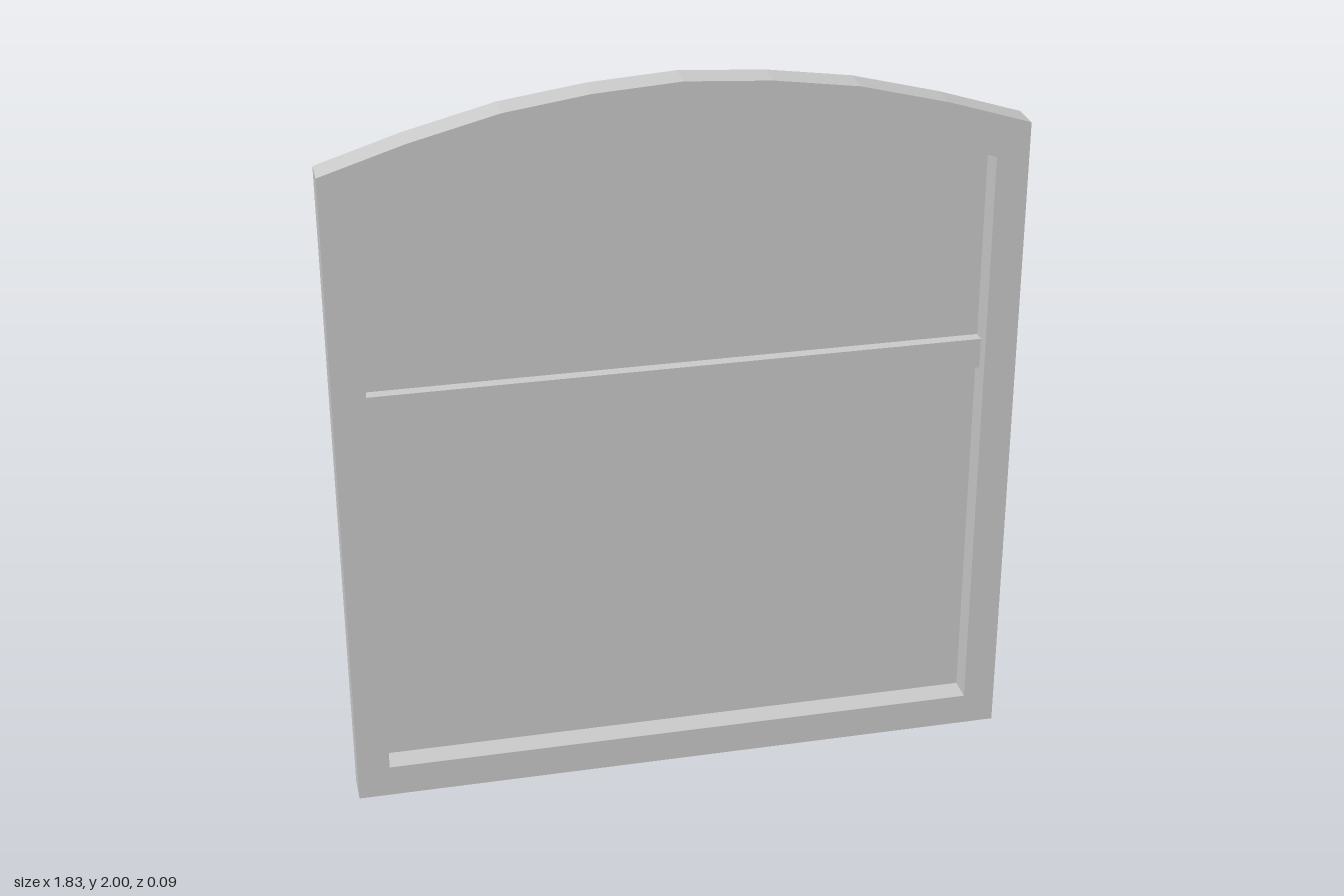
import * as THREE from 'three';

const FRONT = 0.044, BACK = -0.043, RAIL = 0.006, GLASS = -0.026;

// Mirrors a half arch (centre to right end) and closes it along the bottom.
function archOutline(half, bottom) {
  const left = half.slice(1).map(([x, y]) => [-x, y]);
  const end = half[half.length - 1][0];
  return [[-end, bottom], [end, bottom], ...half.slice().reverse(), ...left]
    .map(([x, y]) => new THREE.Vector2(x, y));
}

// Closed band of walls following an outline between two depths.
function wallGeometry(points, z0, z1) {
  const pos = [];
  points.forEach((a, i) => {
    const b = points[(i + 1) % points.length];
    pos.push(a.x, a.y, z0, b.x, b.y, z0, b.x, b.y, z1);
    pos.push(a.x, a.y, z0, b.x, b.y, z1, a.x, a.y, z1);
  });
  const geometry = new THREE.BufferGeometry();
  geometry.setAttribute('position', new THREE.Float32BufferAttribute(pos, 3));
  geometry.computeVertexNormals();
  return geometry;
}

export function createModel() {
  const model = new THREE.Group();
  model.name = 'archedWindow';
  const material = new THREE.MeshStandardMaterial({
    color: 0xcccccc, flatShading: true, side: THREE.DoubleSide,
  });
  const add = (name, geometry, z = 0) => {
    const mesh = new THREE.Mesh(geometry, material);
    mesh.name = name;
    mesh.position.z = z;
    model.add(mesh);
  };

  const outer = archOutline(
    [[0, 2], [0.23, 1.985], [0.455, 1.953], [0.69, 1.893], [0.914, 1.822]], 0);
  const inner = archOutline(
    [[0, 1.903], [0.205, 1.896], [0.41, 1.864], [0.61, 1.808], [0.826, 1.734]], 0.09);

  // Frame: front face with walls, hollow and open at the back
  const face = new THREE.Shape(outer);
  face.holes.push(new THREE.Path(inner));
  add('frameFace', new THREE.ShapeGeometry(face), FRONT);
  add('frameOuterWall', wallGeometry(outer, BACK, FRONT));
  add('frameInnerWall', wallGeometry(inner, BACK, FRONT));

  // Pane set near the back of the frame
  add('glassPane', new THREE.ShapeGeometry(new THREE.Shape(inner)), GLASS);

  // Cross rail: a channel open at the back
  const rail = [[-0.83, 1.117], [0.83, 1.117], [0.83, 1.202], [-0.83, 1.202]]
    .map(([x, y]) => new THREE.Vector2(x, y));
  add('railFace', new THREE.ShapeGeometry(new THREE.Shape(rail)), RAIL);
  add('railWall', wallGeometry(rail, BACK, RAIL));

  return model;
}
